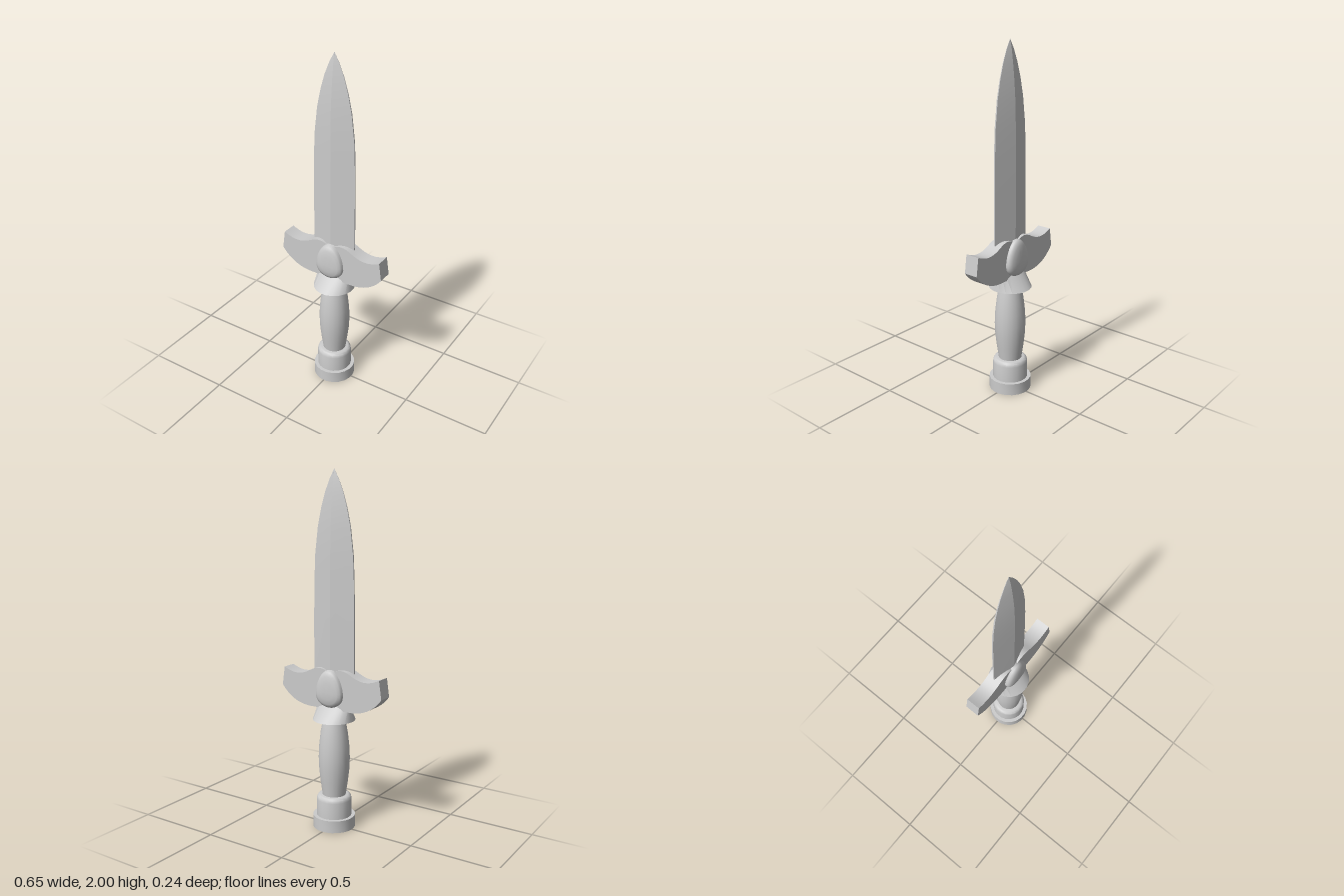
import * as THREE from 'three';
import { toCreasedNormals } from 'three/addons/utils/BufferGeometryUtils.js';

const material = new THREE.MeshStandardMaterial({ color: 0xcccccc });
const SIDES = 20;

function part(name, geometry, crease = 0.55) {
  const mesh = new THREE.Mesh(toCreasedNormals(geometry, crease), material);
  mesh.name = name;
  return mesh;
}

// Skin over equal-length rings of [x, y, z], closed by a fan at each end
function loft(rings) {
  const pos = [];
  const n = rings[0].length;
  const middle = (ring) => [0, 1, 2].map((k) => ring.reduce((s, p) => s + p[k], 0) / n);
  const first = rings[0];
  const last = rings[rings.length - 1];
  const c0 = middle(first);
  const c1 = middle(last);
  for (let i = 0; i < n; i++) {
    const j = (i + 1) % n;
    for (let r = 0; r < rings.length - 1; r++) {
      const a = rings[r], b = rings[r + 1];
      pos.push(...a[i], ...a[j], ...b[j], ...a[i], ...b[j], ...b[i]);
    }
    pos.push(...c0, ...first[j], ...first[i], ...c1, ...last[i], ...last[j]);
  }
  const geometry = new THREE.BufferGeometry();
  geometry.setAttribute('position', new THREE.Float32BufferAttribute(pos, 3));
  return geometry;
}

function turned(profile) {
  const points = profile.map(([r, y]) => new THREE.Vector2(r, y));
  return new THREE.LatheGeometry(points, SIDES).rotateY(Math.PI / SIDES);
}

function ellipse(rx, rz, y) {
  return Array.from({ length: SIDES }, (_, i) => {
    const t = ((i + 0.5) / SIDES) * Math.PI * 2;
    return [rx * Math.cos(t), y, -rz * Math.sin(t)];
  });
}

// Diamond section with a narrow flat along each cutting edge
function bladeSection([y, w, d]) {
  const e = d * 0.1;
  return [[w, y, e], [w, y, -e], [0, y, -d], [-w, y, -e], [-w, y, e], [0, y, d]];
}

// Egg outline, wider at the bottom
function eggSection([z, s]) {
  return Array.from({ length: 28 }, (_, i) => {
    const t = (i / 28) * Math.PI * 2;
    const c = Math.cos(t), v = Math.sin(t);
    return [0.085 * s * c * (1 - 0.14 * v), 0.8 + s * v * (v > 0 ? 0.125 : 0.087), z];
  });
}

function guardGeometry() {
  const s = new THREE.Shape();
  s.moveTo(0, 0.7);
  s.lineTo(0.13, 0.7);
  s.bezierCurveTo(0.21, 0.7, 0.28, 0.735, 0.327, 0.8);
  s.lineTo(0.312, 0.905);
  s.bezierCurveTo(0.25, 0.875, 0.2, 0.87, 0.13, 0.91);
  s.bezierCurveTo(0.08, 0.938, 0.04, 0.93, 0, 0.9);
  s.bezierCurveTo(-0.04, 0.93, -0.08, 0.938, -0.13, 0.91);
  s.bezierCurveTo(-0.2, 0.87, -0.25, 0.875, -0.312, 0.905);
  s.lineTo(-0.327, 0.8);
  s.bezierCurveTo(-0.28, 0.735, -0.21, 0.7, -0.13, 0.7);
  s.closePath();
  return new THREE.ExtrudeGeometry(s, { depth: 0.084, bevelEnabled: false, curveSegments: 10 })
    .translate(0, 0, -0.042);
}

export function createModel() {
  const dagger = new THREE.Group();
  dagger.name = 'dagger';

  // Blade: height, half width, half thickness
  const blade = [
    [0.8, 0.132, 0.04], [1.2, 0.131, 0.04], [1.4, 0.128, 0.04], [1.55, 0.122, 0.039],
    [1.7, 0.104, 0.035], [1.8, 0.082, 0.028], [1.88, 0.058, 0.02], [1.95, 0.029, 0.011],
    [2, 0.001, 0.001],
  ];
  dagger.add(part('blade', loft(blade.map(bladeSection)), 0.35));

  dagger.add(part('crossguard', guardGeometry()));

  // Domed stone set through the guard: depth, scale
  const stone = [
    [-0.081, 0.1], [-0.079, 0.45], [-0.074, 0.75], [-0.066, 0.93], [-0.055, 1],
    [0.055, 1], [0.066, 0.93], [0.074, 0.75], [0.079, 0.45], [0.081, 0.1],
  ];
  dagger.add(part('guardStone', loft(stone.map(eggSection)), 0.8));

  // Collar: round below, narrowing to the guard's thickness above
  dagger.add(part('collar', loft([ellipse(0.119, 0.123, 0.635), ellipse(0.105, 0.042, 0.725)])));

  dagger.add(part('grip', turned([
    [0.064, 0.17], [0.068, 0.2], [0.078, 0.27], [0.086, 0.34], [0.089, 0.41],
    [0.086, 0.48], [0.077, 0.56], [0.066, 0.62], [0.06, 0.65],
  ])));

  dagger.add(part('pommelNeck', turned([
    [0.1, 0.06], [0.1, 0.165], [0.097, 0.18], [0.09, 0.189], [0.08, 0.192], [0, 0.192],
  ]), 0.75));

  dagger.add(part('pommelBase', turned([[0, 0], [0.121, 0], [0.121, 0.07], [0, 0.07]])));

  return dagger;
}
